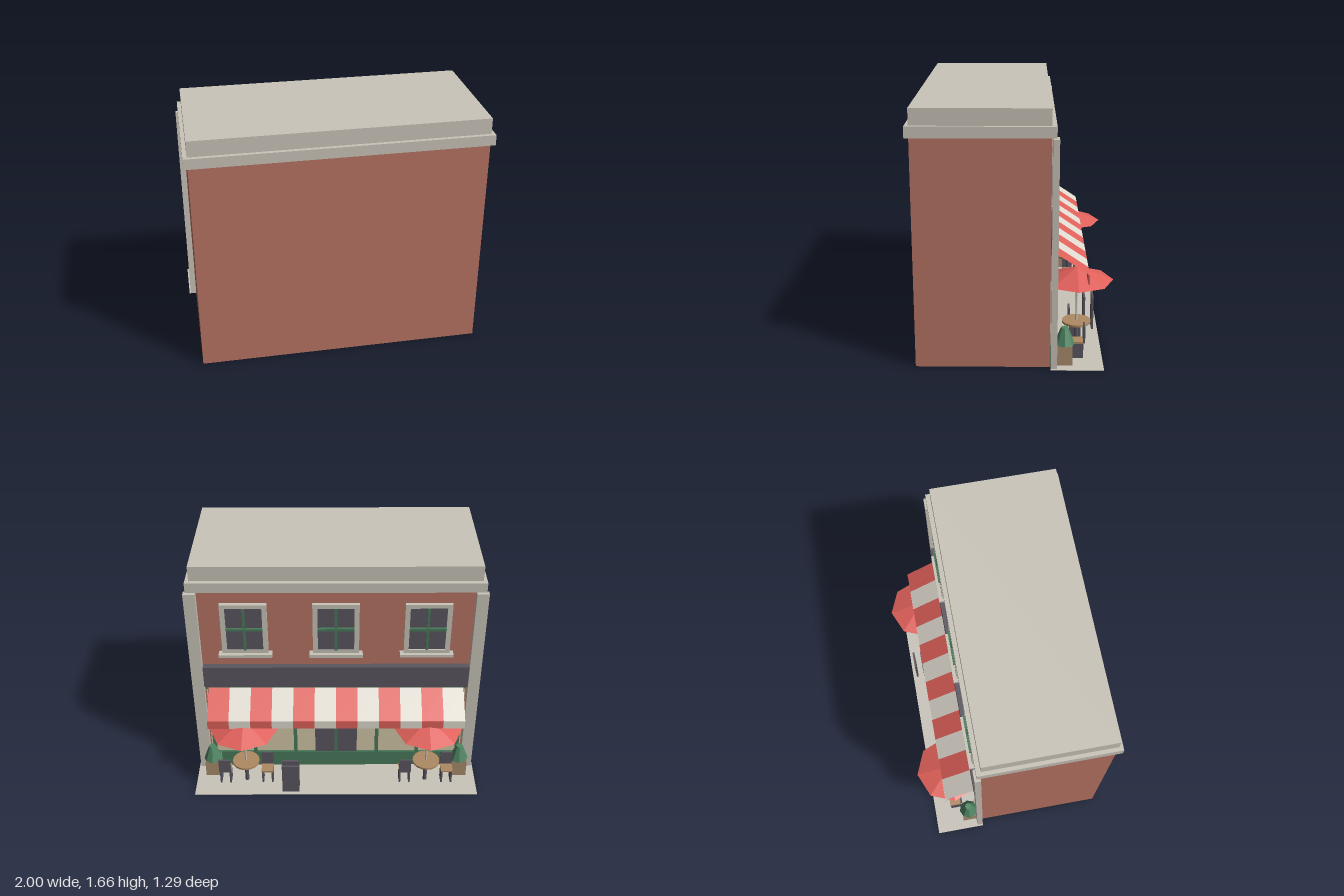
import * as THREE from 'three';

const paint = (name, color, extra = {}) => {
  const m = new THREE.MeshStandardMaterial({ color, ...extra });
  m.name = name;
  return m;
};

export function createModel() {
  const model = new THREE.Group();
  model.name = 'cornerCafe';
  const brick = paint('brick', 0xb87464);
  const stone = paint('stone', 0xc9c4b9);
  const slate = paint('slate', 0x5b5661);
  const green = paint('frameGreen', 0x48795a);
  const leaf = paint('foliage', 0x4f8563, { flatShading: true });
  const red = paint('red', 0xe0605a, { flatShading: true, side: THREE.DoubleSide });
  const cream = paint('awningCream', 0xdfdacf, { side: THREE.DoubleSide });
  const pane = paint('shopPane', 0xd2c7a6);
  const wood = paint('wood', 0xae8a62);
  const planterWood = paint('planterWood', 0xa98c6c);

  const add = (parent, name, geometry, material, x = 0, y = 0, z = 0) => {
    const mesh = new THREE.Mesh(geometry, material);
    mesh.name = name;
    mesh.position.set(x, y, z);
    parent.add(mesh);
    return mesh;
  };
  // Box given by its extents on each axis
  const box = (parent, name, mat, x0, x1, y0, y1, z0, z1) =>
    add(parent, name, new THREE.BoxGeometry(x1 - x0, y1 - y0, z1 - z0), mat,
      (x0 + x1) / 2, (y0 + y1) / 2, (z0 + z1) / 2);
  const group = (name, x = 0, y = 0, z = 0) => {
    const g = new THREE.Group();
    g.name = name;
    g.position.set(x, y, z);
    model.add(g);
    return g;
  };

  // Building shell; the shopfront is on the -z side
  box(model, 'walls', brick, -0.95, 0.95, 0, 1.49, -0.23, 0.62);
  box(model, 'cornice', stone, -0.975, 0.975, 1.485, 1.555, -0.26, 0.645);
  box(model, 'parapet', stone, -0.95, 0.95, 1.555, 1.66, -0.23, 0.62);
  box(model, 'pavement', stone, -1, 1, 0, 0.006, -0.57, -0.235);
  for (const s of [-1, 1])
    box(model, 'pilaster', stone, s * 0.95 - 0.04, s * 0.95 + 0.04, 0, 1.48, -0.275, -0.235);

  // Upper windows
  for (const x of [-0.61, 0, 0.61]) {
    const w = group('upperWindow', x, 1.2, 0);
    const frame = new THREE.Shape([[-0.155, -0.19], [0.155, -0.19], [0.155, 0.19], [-0.155, 0.19]]
      .map(p => new THREE.Vector2(...p)));
    frame.holes.push(new THREE.Path([[-0.122, -0.165], [-0.122, 0.162], [0.122, 0.162], [0.122, -0.165]]
      .map(p => new THREE.Vector2(...p))));
    add(w, 'windowFrame', new THREE.ExtrudeGeometry(frame, { depth: 0.03, bevelEnabled: false }), stone, 0, 0, -0.258);
    box(w, 'windowGlass', slate, -0.125, 0.125, -0.17, 0.165, -0.25, -0.23);
    box(w, 'verticalBar', green, -0.009, 0.009, -0.165, 0.162, -0.262, -0.245);
    box(w, 'crossBar', green, -0.122, 0.122, -0.009, 0.009, -0.268, -0.245);
    box(w, 'windowSill', stone, -0.18, 0.18, -0.212, -0.19, -0.283, -0.23);
  }

  // Shopfront
  const shop = group('shopfront');
  box(shop, 'fascia', slate, -0.908, 0.908, 0.735, 0.9, -0.275, -0.23);
  box(shop, 'shopWindows', pane, -0.9, 0.9, 0.12, 0.735, -0.24, -0.23);
  box(shop, 'stallRiser', green, -0.905, 0.905, 0, 0.13, -0.258, -0.23);
  box(shop, 'topRail', green, -0.9, 0.9, 0.705, 0.735, -0.256, -0.23);
  for (let i = -3; i <= 3; i++)
    box(shop, 'post', green, i * 0.292 - 0.012, i * 0.292 + 0.012, 0.13, 0.71, -0.262, -0.235);
  for (const s of [-1, 1])
    box(shop, 'doorLeaf', slate, s * 0.08 - 0.07, s * 0.08 + 0.07, 0.08, 0.53, -0.25, -0.235);
  box(shop, 'doorLintel', green, -0.18, 0.18, 0.53, 0.56, -0.275, -0.235);

  // Striped awning with a straight valance
  const awning = group('awning');
  const stripe = 1.76 / 12, drop = 0.135, reach = 0.2;
  for (let i = 0; i < 12; i++) {
    const x = -0.88 + (i + 0.5) * stripe;
    const mat = i % 2 ? red : cream;
    const slope = add(awning, 'awningStripe',
      new THREE.PlaneGeometry(stripe, Math.hypot(drop, reach)), mat, x, 0.73 - drop / 2, -0.275 - reach / 2);
    slope.rotation.set(Math.atan2(reach, drop), Math.PI, 0, 'YXZ');
    slope.rotation.x = -Math.atan2(reach, drop);
    box(awning, 'valanceStripe', mat, x - stripe / 2, x + stripe / 2, 0.53, 0.593, -0.476, -0.468);
  }

  // Tables with parasols, each with a pair of chairs
  const chair = (parent, x, back) => {
    box(parent, 'chairSeat', wood, x - 0.042, x + 0.042, 0.105, 0.117, -0.042, 0.042);
    for (const s of [-1, 1])
      box(parent, 'chairSide', slate, x + s * 0.034 - 0.006, x + s * 0.034 + 0.006, 0.005, 0.105, -0.038, 0.038);
    box(parent, 'chairBack', slate, x - 0.042, x + 0.042, 0.11, 0.222, back * 0.043 - 0.006, back * 0.043 + 0.006);
  };
  for (const s of [-1, 1]) {
    const set = group('tableSet', s * 0.64, 0, -0.41);
    add(set, 'tablePedestal', new THREE.CylinderGeometry(0.014, 0.014, 0.175, 10), slate, 0, 0.09, 0);
    add(set, 'tableTop', new THREE.CylinderGeometry(0.095, 0.095, 0.014, 16), wood, 0, 0.182, 0);
    add(set, 'parasolPole', new THREE.CylinderGeometry(0.007, 0.007, 0.32, 8), stone, 0, 0.34, 0);
    add(set, 'parasol', new THREE.ConeGeometry(0.235, 0.09, 8), red, 0, 0.52, 0);
    chair(set, 0.15, -1);
    chair(set, -0.15, 1);
  }

  // Planters with clipped shrubs
  for (const s of [-1, 1]) {
    const p = group('planter', s * 0.885, 0, -0.323);
    box(p, 'planterBox', planterWood, -0.055, 0.055, 0.005, 0.135, -0.05, 0.05);
    add(p, 'shrub', new THREE.CylinderGeometry(0.024, 0.066, 0.11, 8), leaf, 0, 0.19, 0);
  }

  // Pavement board made of two upright panels
  const board = group('pavementBoard', 0.32, 0, 0);
  for (const z of [-0.478, -0.536])
    box(board, 'boardPanel', slate, -0.06, 0.06, 0.005, 0.24, z - 0.007, z + 0.007);

  return model;
}
